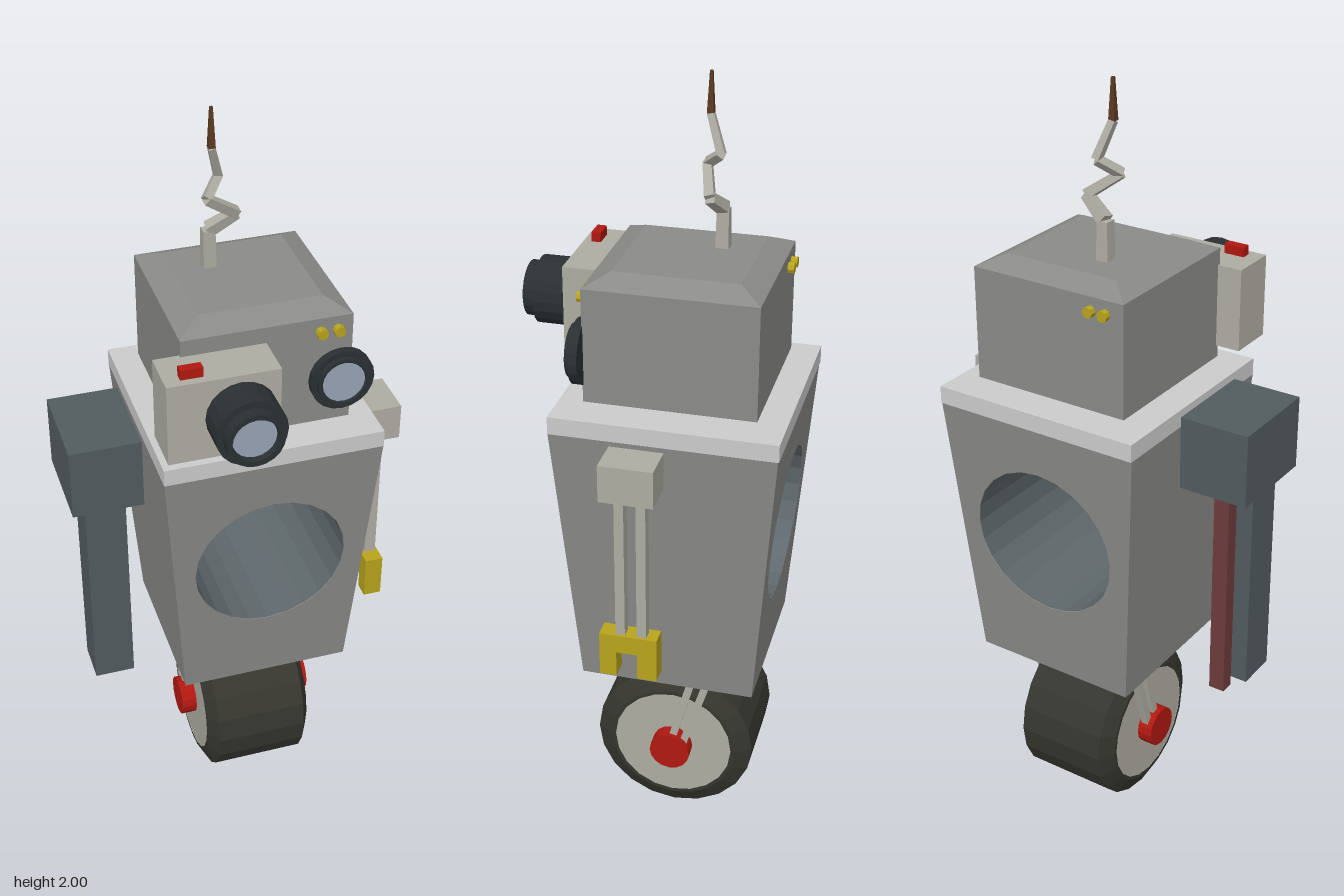
import * as THREE from 'three';

const mat = (color, extra = {}) => new THREE.MeshStandardMaterial({ color, flatShading: true, ...extra });
const M = {
  grey: mat(0x8a8a88), light: mat(0xcccccc), beige: mat(0xaeaca2), slate: mat(0x525b5f),
  dark: mat(0x2a3032), tyre: mat(0x36362f), red: mat(0xb01810), rust: mat(0x6e3a3a),
  yellow: mat(0xb8a41c), glass: mat(0x97a4b6), brown: mat(0x5a3a22),
  tunnel: mat(0x5f686c, { side: THREE.BackSide }),
};
const V = (x, y, z) => new THREE.Vector3(x, y, z);
const CX = 0.045, CZ = -0.08; // centre line of the body

export function createModel() {
  const root = new THREE.Group();

  const add = (name, geo, material, parent = root) => {
    const mesh = new THREE.Mesh(geo, material);
    mesh.name = name;
    parent.add(mesh);
    return mesh;
  };
  // box given by its limits on each axis
  const box = (name, m, [x0, x1], [y0, y1], [z0, z1], parent) => add(name,
    new THREE.BoxGeometry(x1 - x0, y1 - y0, z1 - z0)
      .translate((x0 + x1) / 2, (y0 + y1) / 2, (z0 + z1) / 2), m, parent);
  // tapered rod between two points
  const rod = (name, m, a, b, ra, rb = ra, sides = 4, parent = root) => {
    const dir = b.clone().sub(a);
    const mesh = add(name, new THREE.CylinderGeometry(rb, ra, dir.length(), sides).rotateY(Math.PI / 4), m, parent);
    mesh.position.copy(a).addScaledVector(dir, 0.5);
    mesh.quaternion.setFromUnitVectors(V(0, 1, 0), dir.normalize());
    return mesh;
  };
  const lathe = (pts, sides) => new THREE.LatheGeometry(pts.map(p => new THREE.Vector2(...p)), sides);

  // tapered body with a round hole right through it
  const yB = 0.47, yT = 1.2;
  const half = y => 0.225 + 0.055 * (y - yB) / (yT - yB);
  const taperZ = geo => {
    const p = geo.attributes.position;
    for (let i = 0; i < p.count; i++) p.setZ(i, CZ + p.getZ(i) * 2 * half(p.getY(i)));
    geo.computeVertexNormals();
    return geo;
  };
  const outline = new THREE.Shape([[-half(yB), yB], [half(yB), yB], [half(yT), yT], [-half(yT), yT]]
    .map(([x, y]) => new THREE.Vector2(CX + x, y)));
  outline.holes.push(new THREE.Path().absarc(CX, 0.87, 0.2, 0, Math.PI * 2, true));
  add('body', taperZ(new THREE.ExtrudeGeometry(outline, { depth: 1, bevelEnabled: false, curveSegments: 12 })
    .translate(0, 0, -0.5)), M.grey);
  add('bodyTunnel', taperZ(new THREE.CylinderGeometry(0.198, 0.198, 1, 24, 1, true)
    .rotateX(Math.PI / 2).translate(CX, 0.87, 0)), M.tunnel);
  box('bodyLid', M.light, [-0.235, 0.325], [1.195, 1.24], [-0.362, 0.2]);

  // head: square section with chamfered top and bottom
  const s = Math.SQRT2;
  add('head', lathe([[0, 1.24], [0.155 * s, 1.24], [0.2125 * s, 1.257], [0.2125 * s, 1.547],
    [0.155 * s, 1.575], [0, 1.575]], 4).toNonIndexed().rotateY(Math.PI / 4).translate(CX - 0.002, 0, -0.082), M.grey);

  // crooked antenna that thins towards the tip
  const antenna = new THREE.Group();
  antenna.name = 'antenna';
  root.add(antenna);
  const bends = [[-0.02, 1.57, -0.145], [-0.02, 1.672, -0.145], [0.045, 1.717, -0.125], [-0.036, 1.775, -0.1],
    [0.005, 1.812, -0.142], [-0.02, 1.9, -0.11], [-0.02, 2, -0.11]].map(p => V(...p));
  const radii = [0.023, 0.021, 0.017, 0.015, 0.014, 0.012, 0.005];
  for (let i = 0; i < 6; i++) {
    rod('antennaSegment', i === 5 ? M.brown : M.beige, bends[i], bends[i + 1], radii[i], radii[i + 1], 4, antenna);
  }

  // eyes: stepped barrel with a slightly sunken glass
  const eye = (name, x, y, z, r1, d1, r2, d2, sink) => {
    const g = new THREE.Group();
    g.name = name;
    g.position.set(x, y, z);
    root.add(g);
    add('barrel', lathe([[0, 0], [r1, 0], [r1, d1], [r2, d1], [r2, d2], [0.057, d2], [0.054, d2 - sink]], 20)
      .rotateX(Math.PI / 2), M.dark, g);
    add('glass', new THREE.CircleGeometry(0.055, 20).translate(0, 0, d2 - sink), M.glass, g);
  };
  box('cameraBox', M.beige, [-0.235, 0.04], [1.29, 1.505], [0.122, 0.245]);
  box('cameraButton', M.red, [-0.196, -0.141], [1.5, 1.53], [0.2, 0.224]);
  eye('rightEye', -0.057, 1.4, 0.243, 0.087, 0.087, 0.071, 0.117, 0.015);
  eye('leftEye', 0.228, 1.377, 0.128, 0.081, 0.023, 0.066, 0.035, 0.004);

  // small knobs on the front and back of the head
  for (const [x, z] of [[0.175, 0.138], [0.218, 0.138], [-0.12, -0.3], [-0.08, -0.3]]) {
    add('knob', new THREE.CylinderGeometry(0.014, 0.014, 0.022, 8).rotateX(Math.PI / 2).translate(x, 1.512, z), M.yellow);
  }

  // left arm: shoulder block, twin rods and a forked claw
  box('leftShoulder', M.beige, [0.338, 0.435], [1.093, 1.19], [-0.09, 0.044]);
  for (const z of [0.004, -0.05]) box('leftArmRod', M.beige, [0.371, 0.401], [0.69, 1.095], [z - 0.012, z + 0.012]);
  const claw = new THREE.Shape([[-0.09, 0.58], [-0.04, 0.58], [-0.04, 0.65], [0.013, 0.65], [0.013, 0.58],
    [0.056, 0.58], [0.056, 0.7], [-0.09, 0.7]].map(([z, y]) => new THREE.Vector2(-z, y)));
  add('claw', new THREE.ExtrudeGeometry(claw, { depth: 0.048, bevelEnabled: false })
    .rotateY(Math.PI / 2).translate(0.36, 0, 0), M.yellow);

  // right arm: heavy shoulder, beam and a thin strut behind it
  box('rightShoulder', M.slate, [-0.437, -0.255], [1.05, 1.24], [-0.18, 0.07]);
  box('rightArmBeam', M.slate, [-0.4, -0.295], [0.467, 1.05], [-0.075, 0.035]);
  box('rightArmStrut', M.rust, [-0.372, -0.33], [0.467, 1.05], [-0.142, -0.105]);

  // wheel with side discs, hubs and a pair of fork rods on each side
  const wheel = new THREE.Group();
  wheel.name = 'wheel';
  wheel.position.set(0.0425, 0.214, -0.077);
  root.add(wheel);
  add('tyre', lathe([[0.16, -0.147], [0.17, -0.147], [0.213, -0.124], [0.213, 0.124], [0.17, 0.147], [0.16, 0.147]], 20)
    .rotateZ(Math.PI / 2), M.tyre, wheel);
  add('wheelDisc', new THREE.CylinderGeometry(0.161, 0.161, 0.292, 20).rotateZ(Math.PI / 2), M.beige, wheel);
  for (const side of [-1, 1]) {
    add('hub', new THREE.CylinderGeometry(0.054, 0.054, 0.045, 16).rotateZ(Math.PI / 2)
      .translate(side * 0.165, 0, 0), M.red, wheel);
    const x = CX + side * 0.165;
    rod('forkRod', M.beige, V(x, 0.22, -0.073), V(x, 0.5, -0.147), 0.014);
    rod('forkRod', M.beige, V(x, 0.22, -0.105), V(x, 0.5, -0.19), 0.014);
  }
  return root;
}
